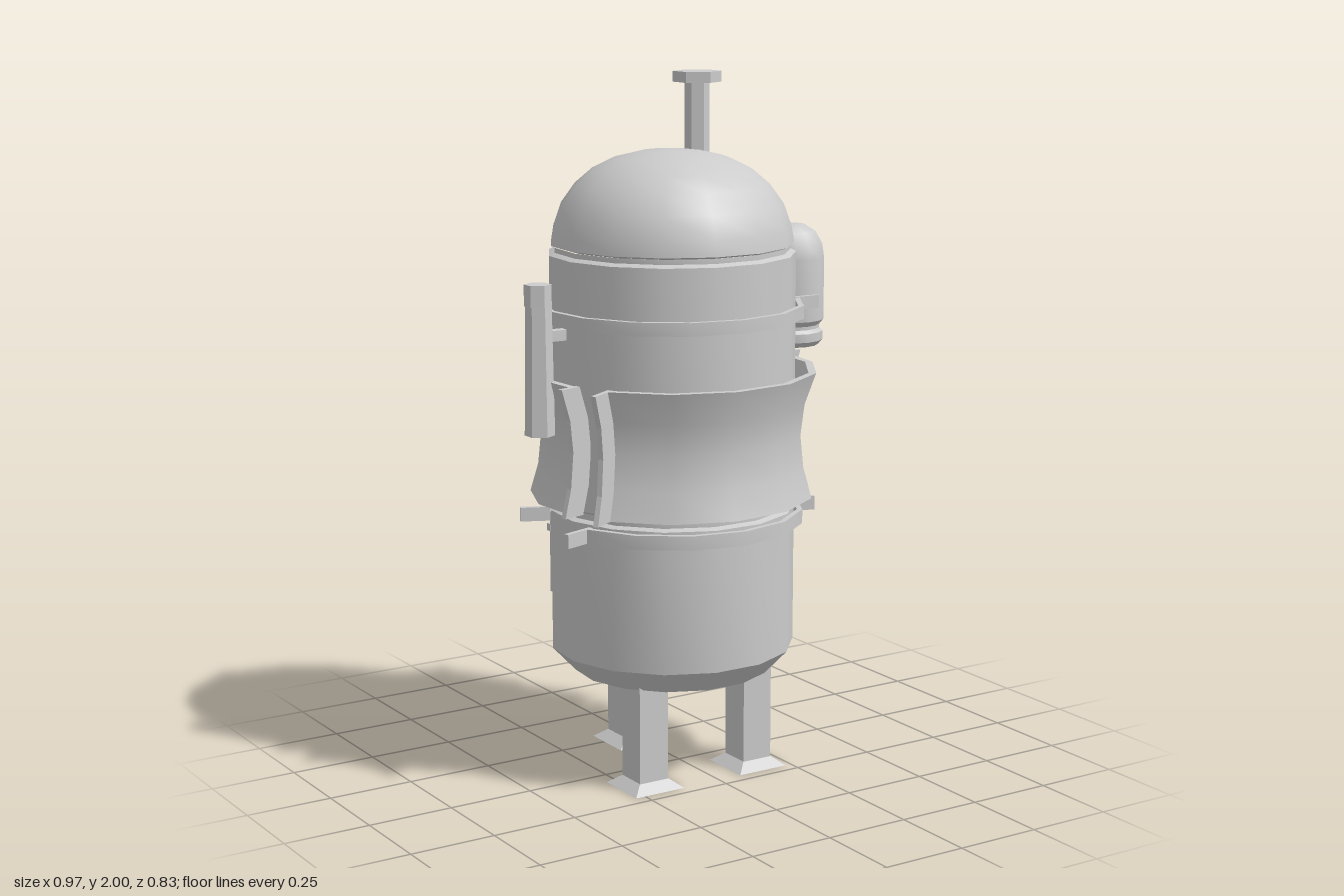
import * as THREE from 'three';
import { toCreasedNormals } from 'three/addons/utils/BufferGeometryUtils.js';

const CX = -0.025, SIDES = 15;
const rad = THREE.MathUtils.degToRad;

export function createModel() {
  const model = new THREE.Group();
  const mat = new THREE.MeshStandardMaterial({ color: 0xcccccc });
  const thin = new THREE.MeshStandardMaterial({ color: 0xcccccc, side: THREE.DoubleSide });

  const add = (name, geo, x = 0, y = 0, z = 0, parent = model, material = mat) => {
    const m = new THREE.Mesh(geo, material);
    m.name = name;
    m.position.set(x, y, z);
    parent.add(m);
    return m;
  };
  const box = (name, w, h, d, x, y, z, parent) => add(name, new THREE.BoxGeometry(w, h, d), x, y, z, parent);
  const hex = (name, rTop, rBottom, y0, y1, x, z) =>
    add(name, toCreasedNormals(new THREE.CylinderGeometry(rTop, rBottom, y1 - y0, 6), 0.5), x, (y0 + y1) / 2, z);
  // Revolved profile of [radius, height] pairs; angles in degrees from +z towards +x
  const lathe = (pts, sides, from = 180, to = 540, crease = 0.5) => toCreasedNormals(
    new THREE.LatheGeometry(pts.map(p => new THREE.Vector2(...p)), sides, rad(from), rad(to - from)), crease);
  const segments = (from, to) => Math.max(2, Math.round((to - from) / (360 / SIDES)));
  // Group on the body axis whose +x points outwards at the given angle
  const radial = (name, deg) => {
    const g = new THREE.Group();
    g.name = name;
    g.position.x = CX;
    g.rotation.y = rad(deg - 90);
    model.add(g);
    return g;
  };

  // Vessel: rounded base, waist groove, cylinder, neck groove and dome
  add('body', lathe([
    [0, 0.257], [0.12, 0.262], [0.285, 0.3], [0.351, 0.37], [0.351, 0.775], [0.335, 0.782],
    [0.335, 0.8], [0.351, 0.808], [0.351, 1.5], [0.335, 1.508], [0.335, 1.522],
  ], SIDES), CX);
  add('dome', lathe([
    [0.32, 1.52], [0.345, 1.527], [0.338, 1.57], [0.315, 1.635], [0.275, 1.69],
    [0.225, 1.733], [0.16, 1.765], [0.085, 1.783], [0, 1.79],
  ], SIDES, 180, 540, 0.7), CX);

  // Legs with flared feet
  for (const [x, z] of [[-0.2, 0.135], [0.152, 0.135], [CX, -0.235]]) {
    box('leg', 0.094, 0.29, 0.094, x, 0.165, z);
    const foot = new THREE.CylinderGeometry(0.048 * Math.SQRT2, 0.08 * Math.SQRT2, 0.025, 4).toNonIndexed();
    foot.rotateY(Math.PI / 4);
    foot.computeVertexNormals();
    add('foot', foot, x, 0.0125, z);
  }

  // Chimney
  hex('chimneyStem', 0.035, 0.035, 1.7, 1.975, 0.065, -0.008);
  hex('chimneyCap', 0.068, 0.068, 1.97, 2, 0.065, -0.008);

  // Flared guard plates, each closed at its ends by an upright fin
  const flare = [[0.405, 0.81], [0.382, 0.89], [0.372, 0.99], [0.383, 1.08], [0.415, 1.17]];
  const plate = [...flare, ...flare.map(([r, y]) => [r - 0.022, y]).reverse(), flare[0]];
  const fin = (deg, reach) => {
    const s = new THREE.Shape([
      ...flare.map(([r, y]) => new THREE.Vector2(r + reach, y)),
      ...flare.map(([r, y]) => new THREE.Vector2(r - 0.03, y)).reverse(),
    ]);
    const geo = new THREE.ExtrudeGeometry(s, { depth: 0.015, bevelEnabled: false });
    add('guardFin', geo, 0, 0, -0.0075, radial('guardEnd', deg));
  };
  for (const [name, from, to, finA, finB] of [
    ['frontGuard', -58, 96, 0.07, 0.065], ['backGuard', 134, 286, 0.075, 0.04]]) {
    add(name, lathe(plate, segments(from, to), from, to, 0.6), CX, 0, 0, model, thin);
    fin(from, finA);
    fin(to, finB);
  }

  // Hoops around the vessel with projecting end tabs
  const hoop = (name, y, h, from, to) => add(name, lathe([
    [0.376, y], [0.376, y + h], [0.36, y + h], [0.36, y], [0.376, y],
  ], segments(from, to), from, to), CX, 0, 0, model, thin);
  const tab = (deg, y, h, r0, r1) =>
    box('hoopTab', r1 - r0, h, 0.015, (r0 + r1) / 2, y + h / 2, 0, radial('hoopEnd', deg));
  hoop('upperHoop', 1.32, 0.037, -287, -251 + 322);
  for (const z of [0.107, -0.125]) box('upperHoopTab', 0.08, 0.037, 0.015, 0.365, 1.3385, z);
  hoop('lowerFrontHoop', 0.73, 0.04, -72, 73);
  tab(-72, 0.73, 0.04, 0.35, 0.452);
  tab(73, 0.73, 0.04, 0.35, 0.43);
  hoop('lowerBackHoop', 0.738, 0.04, 92, 246);
  tab(92, 0.738, 0.04, 0.35, 0.44);
  tab(246, 0.738, 0.04, 0.35, 0.435);

  // Side tank
  add('tank', lathe([
    [0, 1.2], [0.085, 1.2], [0.098, 1.215], [0.098, 1.24], [0.088, 1.25], [0.088, 1.26], [0.1, 1.275],
    [0.1, 1.455], [0.094, 1.495], [0.075, 1.53], [0.045, 1.549], [0, 1.555],
  ], 14, 180, 540, 0.6), 0.388, 0, -0.01);
  box('tankMount', 0.08, 0.05, 0.06, 0.32, 1.34, -0.01);

  // Hexagonal pipe and its clamp
  hex('pipe', 0.036, 0.042, 1.02, 1.385, -0.45, -0.008);
  hex('pipeCollar', 0.038, 0.038, 1.38, 1.44, -0.452, -0.008);
  box('pipeClamp', 0.08, 0.03, 0.03, -0.4, 1.295, -0.008);

  // Post with a disc on top and a small knob
  const post = new THREE.CylinderGeometry(0.018, 0.025, 0.39, 6);
  add('post', toCreasedNormals(post, 0.5), 0.355, 0.915, -0.17);
  const disc = new THREE.CylinderGeometry(0.045, 0.045, 0.008, 8);
  disc.rotateX(Math.PI / 2);
  add('postDisc', toCreasedNormals(disc, 0.5), 0.355, 1.15, -0.17);
  add('postKnob', new THREE.SphereGeometry(0.016, 8, 6), 0.355, 1.0, -0.143);
  box('postBracket', 0.07, 0.03, 0.03, 0.33, 0.76, -0.17);

  // Vent box: open frame, recessed back, grille bars, side slots and bolts
  const vent = new THREE.Group();
  vent.name = 'vent';
  vent.position.set(-0.024, 0.595, 0);
  model.add(vent);
  box('ventBack', 0.35, 0.28, 0.06, 0, 0, -0.325, vent);
  for (const s of [-1, 1]) {
    box('ventSide', 0.016, 0.29, 0.095, s * 0.173, 0, -0.3425, vent);
    box('ventEdge', 0.36, 0.016, 0.095, 0, s * 0.137, -0.3425, vent);
    for (const y of [-0.065, 0.06]) box('ventSlot', 0.008, 0.06, 0.022, s * 0.182, y, -0.352, vent);
    for (const y of [0.05, 0.1]) box('ventHinge', 0.012, 0.022, 0.02, s * 0.176, y, -0.395, vent);
  }
  for (let i = -3; i <= 3; i++) box('grilleBar', 0.016, 0.262, 0.02, i * 0.043, 0, -0.372, vent);
  for (const y of [-0.07, 0, 0.07]) {
    box('grilleRail', 0.335, 0.012, 0.014, 0, y, -0.386, vent);
    for (const x of [-0.13, 0.13]) box('grilleBolt', 0.016, 0.016, 0.01, x, y, -0.396, vent);
  }

  return model;
}
